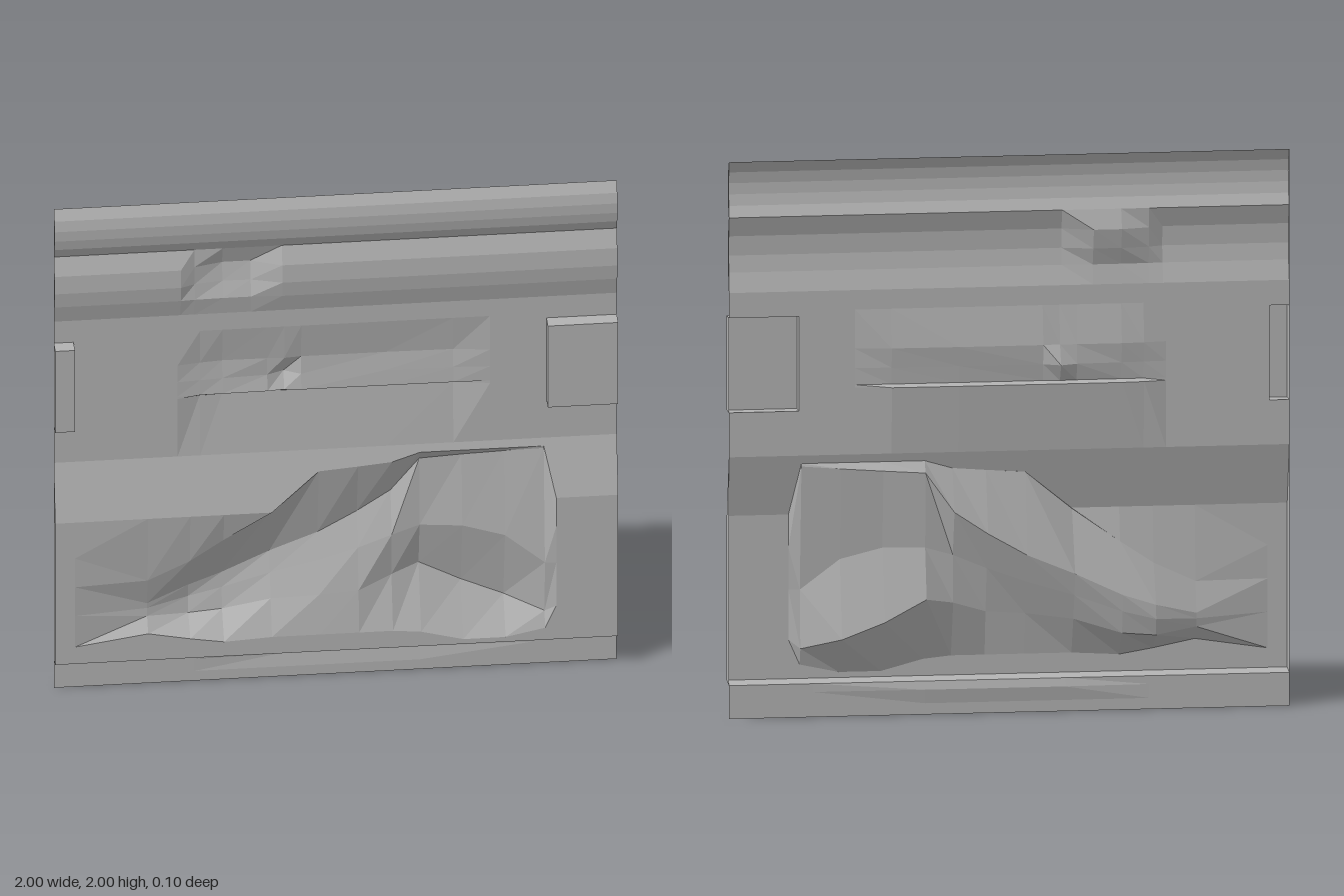
import * as THREE from 'three';

const wallGrey = new THREE.MeshStandardMaterial({ color: 0xb2b2b2, flatShading: true, side: THREE.DoubleSide });
wallGrey.name = 'wallGrey';

// Skin a sheet over columns [x, [[y, z], ...]] running left to right, each listed top to bottom.
// Both ends are closed by a column folded back to z = 0.
function sheet(name, columns) {
  const fold = ([x, pts]) => [x, pts.map(([y]) => [y, 0])];
  const cols = [fold(columns[0]), ...columns, fold(columns[columns.length - 1])];
  const rows = columns[0][1].length;
  const pos = [], index = [];
  cols.forEach(([x, pts]) => pts.forEach(([y, z]) => pos.push(x, y, z)));
  for (let c = 0; c < cols.length - 1; c++) {
    for (let r = 0; r < rows - 1; r++) {
      const a = c * rows + r, b = a + rows;
      index.push(a, a + 1, b, b, a + 1, b + 1);
    }
  }
  const geo = new THREE.BufferGeometry();
  geo.setAttribute('position', new THREE.Float32BufferAttribute(pos, 3));
  geo.setIndex(index);
  const flat = geo.toNonIndexed();
  flat.computeVertexNormals();
  const mesh = new THREE.Mesh(flat, wallGrey);
  mesh.name = name;
  return mesh;
}

const zip = (ys, zs) => ys.map((y, i) => [y, zs[i]]);

// Rounded moulding along the top edge
function topMoulding() {
  const profile = zip([2, 1.96, 1.92, 1.88, 1.84, 1.8], [0, 0.02, 0.027, 0.026, 0.018, 0]);
  return sheet('topMoulding', [[-1, profile], [1, profile]]);
}

// Second moulding with one small dent
function lowerMoulding() {
  const ys = [1.8, 1.73, 1.66, 1.6, 1.53];
  const base = [0, 0.022, 0.026, 0.018, 0];
  const cols = [
    [-1, base],
    [-0.55, base],
    [-0.5, [0, 0.004, 0.006, 0.014, 0]],
    [-0.4, [0, -0.022, -0.008, 0.012, 0]],
    [-0.3, [0, -0.022, -0.006, 0.012, 0]],
    [-0.19, base],
    [1, base],
  ];
  return sheet('lowerMoulding', cols.map(([x, zs]) => [x, zip(ys, zs)]));
}

// Flat middle with a slot-shaped dent and a raised hollow block at each end
function middlePanel() {
  const blockY = [1.53, 1.44, 1.44, 1.27, 1.1, 1.1, 0.94];
  const dentY = [1.53, 1.46, 1.32, 1.25, 1.19, 1.18, 0.94];
  const flat = [0, 0, 0, 0, 0, 0, 0];
  const raised = [0, 0, 0.055, 0.055, 0.055, 0, 0];
  const dents = [
    [-0.56, flat],
    [-0.48, [0, 0, -0.012, -0.006, -0.003, -0.018, 0]],
    [-0.4, [0, 0, -0.02, -0.012, -0.004, -0.024, 0]],
    [-0.24, [0, 0, -0.018, -0.02, -0.006, -0.025, 0]],
    [-0.18, [0, 0, -0.014, -0.045, -0.012, -0.025, 0]],
    [-0.12, [0, 0, -0.02, -0.014, -0.005, -0.025, 0]],
    [0.18, [0, 0, -0.02, -0.01, -0.004, -0.025, 0]],
    [0.42, [0, 0, -0.016, -0.008, -0.003, -0.022, 0]],
    [0.55, flat],
  ];
  return sheet('middlePanel', [
    [-1, zip(blockY, raised)],
    [-0.93, zip(blockY, raised)],
    [-0.93, zip(blockY, flat)],
    ...dents.map(([x, zs]) => [x, zip(dentY, zs)]),
    [0.75, zip(blockY, flat)],
    [0.75, zip(blockY, raised)],
    [1, zip(blockY, raised)],
  ]);
}

// Raised lower panel, battered in an arch with two arms
function lowerPanel() {
  const face = 0.055;
  const baseZ = (y) => (y > 0.72 ? (face * (0.94 - y)) / 0.22 : face);
  // x, then y and z of crest, valley, middle and lower valley, then y of the bottom edge
  const stations = [
    [-1, 0.6, 0.055, 0.48, 0.055, 0.4, 0.055, 0.3, 0.055, 0.2],
    [-0.93, 0.57, 0.055, 0.45, 0.055, 0.4, 0.055, 0.33, 0.055, 0.2],
    [-0.67, 0.45, 0.035, 0.34, 0.01, 0.32, 0.01, 0.29, 0.015, 0.24],
    [-0.52, 0.52, 0.032, 0.38, -0.035, 0.33, -0.04, 0.27, -0.025, 0.21],
    [-0.4, 0.6, 0.03, 0.42, -0.045, 0.36, -0.04, 0.28, -0.025, 0.19],
    [-0.23, 0.72, 0.04, 0.5, -0.045, 0.42, -0.025, 0.33, 0.005, 0.2],
    [-0.06, 0.86, 0.018, 0.57, -0.04, 0.47, -0.01, 0.35, 0.03, 0.2],
    [0.08, 0.87, 0.0175, 0.65, -0.04, 0.52, 0.0, 0.36, 0.03, 0.2],
    [0.2, 0.88, 0.015, 0.73, -0.04, 0.57, 0.005, 0.4, -0.005, 0.2],
    [0.3, 0.91, 0.0075, 0.87, -0.018, 0.6, -0.005, 0.42, -0.045, 0.19],
    [0.45, 0.91, 0.0075, 0.88, -0.015, 0.6, 0.015, 0.34, -0.045, 0.15],
    [0.6, 0.91, 0.0075, 0.89, -0.007, 0.56, 0.03, 0.28, -0.03, 0.15],
    [0.74, 0.91, 0.0075, 0.9, 0.005, 0.45, 0.05, 0.24, 0.035, 0.18],
    [0.78, 0.72, 0.055, 0.6, 0.055, 0.45, 0.055, 0.27, 0.055, 0.18],
    [1, 0.72, 0.055, 0.6, 0.055, 0.45, 0.055, 0.27, 0.055, 0.18],
  ];
  return sheet('lowerPanel', stations.map(([x, yc, zc, yv, zv, ym, zm, yw, zw, yb]) => {
    const top = Math.max(0.72, yc);
    return [x, [[0.94, 0], [top, baseZ(top)], [yc, zc], [yv, zv], [ym, zm], [yw, zw],
      [yb, face], [0.13, face], [0.12, 0]]];
  }));
}

// Thin strip along the floor, pressed in slightly
function baseStrip() {
  const cols = [[-1, 0], [-0.5, 0], [-0.2, -0.008], [0.3, -0.008], [0.7, 0], [1, 0]];
  return sheet('baseStrip', cols.map(([x, z]) => [x, [[0.12, 0], [0.09, z], [0.04, 0], [0, 0]]]));
}

export function createModel() {
  const group = new THREE.Group();
  group.name = 'batteredWallPanel';
  group.add(topMoulding(), lowerMoulding(), middlePanel(), lowerPanel(), baseStrip());
  return group;
}
